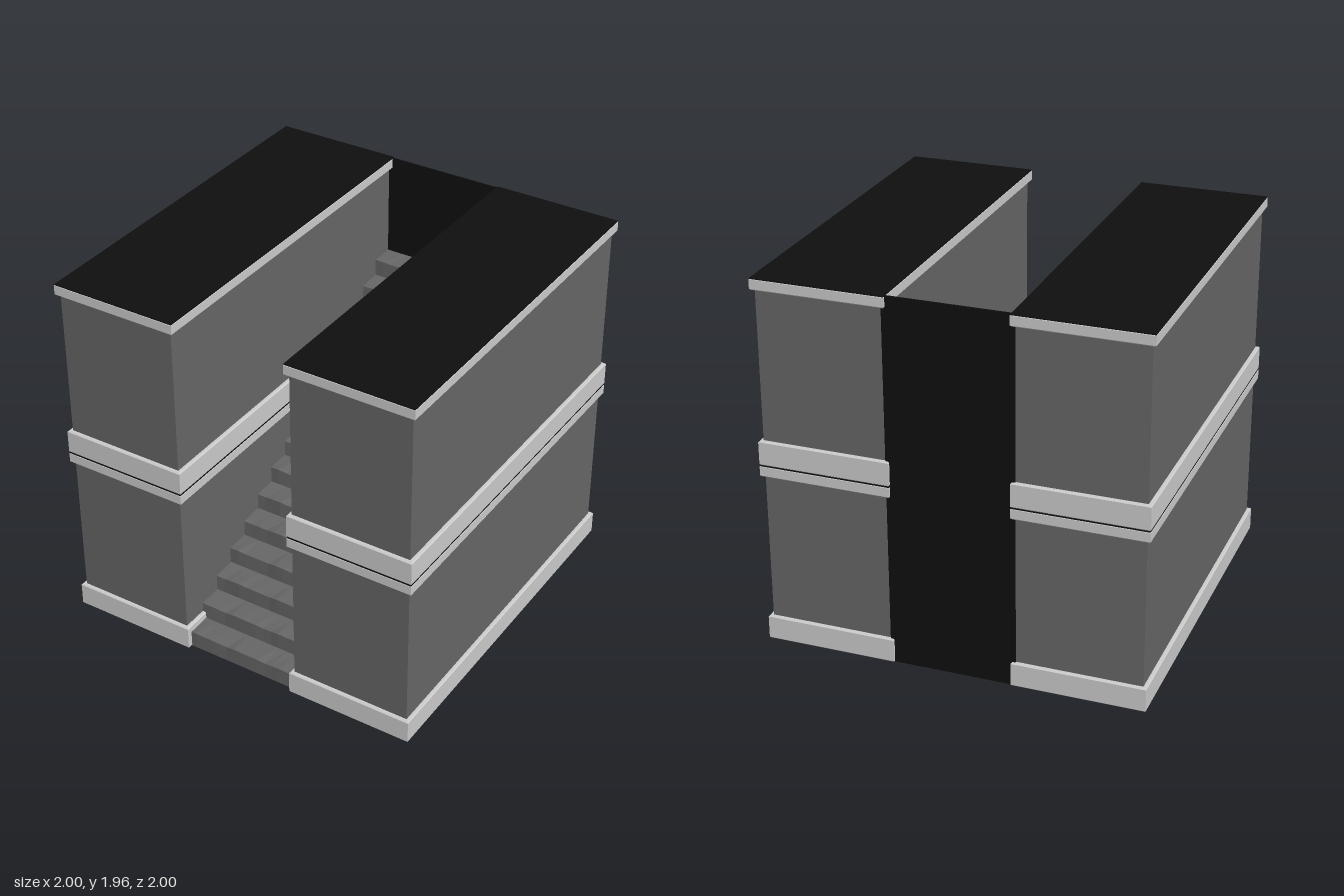
import * as THREE from 'three';

const trimMat = new THREE.MeshStandardMaterial({ color: 0xcccccc });
const wallMat = new THREE.MeshStandardMaterial({ color: 0x666666, side: THREE.DoubleSide });
const blackMat = new THREE.MeshStandardMaterial({ color: 0x0f0f0f });

const STOREY = 0.98, CENTRE = 0.655;

function rect(target, w, d, cz = 0) {
  target.moveTo(-w / 2, cz - d / 2);
  target.lineTo(w / 2, cz - d / 2);
  target.lineTo(w / 2, cz + d / 2);
  target.lineTo(-w / 2, cz + d / 2);
  target.closePath();
  return target;
}

// Rectangular frame with three open cells in a row, standing on y = 0
function frame(w, d, height, rim, rib, bevel) {
  const shape = rect(new THREE.Shape(), w, d);
  const cell = (d - 2 * rim - 2 * rib) / 3;
  for (let i = -1; i <= 1; i++) {
    shape.holes.push(rect(new THREE.Path(), w - 2 * rim, cell, i * (cell + rib)));
  }
  const geo = new THREE.ExtrudeGeometry(shape, {
    depth: height - 2 * bevel,
    bevelEnabled: bevel > 0,
    bevelThickness: bevel,
    bevelSize: bevel,
    bevelOffset: -bevel,
    bevelSegments: 1,
  });
  geo.translate(0, 0, bevel);
  geo.rotateX(-Math.PI / 2);
  return geo;
}

function add(parent, name, geo, mat, x = 0, y = 0, z = 0) {
  const mesh = new THREE.Mesh(geo, mat);
  mesh.name = name;
  mesh.position.set(x, y, z);
  parent.add(mesh);
  return mesh;
}

// Worn staircase: one folded sheet with slightly uneven step edges
function stairGeometry() {
  const steps = 15, cols = 14, half = 0.328;
  const rise = 1.4 / steps, run = 1.95 / steps;
  const rows = [];
  const wear = (i, k) => 0.004 * Math.sin(k * 1.1 + i * 2.3) + 0.003 * Math.sin(k * 2.3 + i * 4.1);
  for (let i = 0; i < steps; i++) {
    const z = 0.97 - i * run;
    rows.push({ y: i * rise, z, w: 0, i });
    rows.push({ y: (i + 1) * rise - 0.004, z, w: 1, i });
  }
  rows.push({ y: 1.4, z: -0.98, w: 0, i: steps });

  const pos = [], index = [];
  rows.forEach((r) => {
    for (let k = 0; k <= cols; k++) {
      const e = r.w * wear(r.i, k);
      pos.push(-half + (2 * half * k) / cols, r.y + e, r.z + e * 0.6);
    }
  });
  for (let j = 0; j < rows.length - 1; j++) {
    for (let k = 0; k < cols; k++) {
      const a = j * (cols + 1) + k, b = a + cols + 1;
      index.push(a, a + 1, b + 1, a, b + 1, b);
    }
  }
  const geo = new THREE.BufferGeometry();
  geo.setAttribute('position', new THREE.Float32BufferAttribute(pos, 3));
  geo.setIndex(index);
  const flat = geo.toNonIndexed();
  flat.computeVertexNormals();
  return flat;
}

export function createModel() {
  const model = new THREE.Group();
  model.name = 'stairwellBlock';

  const baseGeo = frame(0.69, 2, 0.13, 0.06, 0.08, 0.006);
  const capGeo = frame(0.69, 2, 0.06, 0.06, 0.08, 0.006);
  const wallGeo = frame(0.65, 1.96, STOREY - 0.02, 0.02, 0.02, 0);
  const roofGeo = new THREE.BoxGeometry(0.686, 0.006, 1.996);

  // Two side blocks, each of two stacked storeys
  for (const side of [-1, 1]) {
    const block = new THREE.Group();
    block.name = side > 0 ? 'leftBlock' : 'rightBlock';
    block.position.x = side * CENTRE;
    for (let level = 0; level < 2; level++) {
      const storey = new THREE.Group();
      storey.name = level ? 'upperStorey' : 'lowerStorey';
      storey.position.y = level * STOREY;
      add(storey, 'baseTrim', baseGeo, trimMat);
      add(storey, 'walls', wallGeo, wallMat, 0, 0.01);
      add(storey, 'topTrim', capGeo, trimMat, 0, STOREY - 0.062);
      add(storey, 'roofPlate', roofGeo, blackMat, 0, STOREY - 0.003);
      block.add(storey);
    }
    model.add(block);
  }

  // Stairs in the passage
  add(model, 'stairs', stairGeometry(), wallMat);

  // Dark back wall, split at the landing
  add(model, 'lowerBackWall', new THREE.BoxGeometry(0.66, 1.4, 0.008), blackMat, 0, 0.7, -0.984);
  add(model, 'upperBackWall', new THREE.BoxGeometry(0.66, 0.56, 0.008), blackMat, 0, 1.68, -0.984);

  return model;
}
